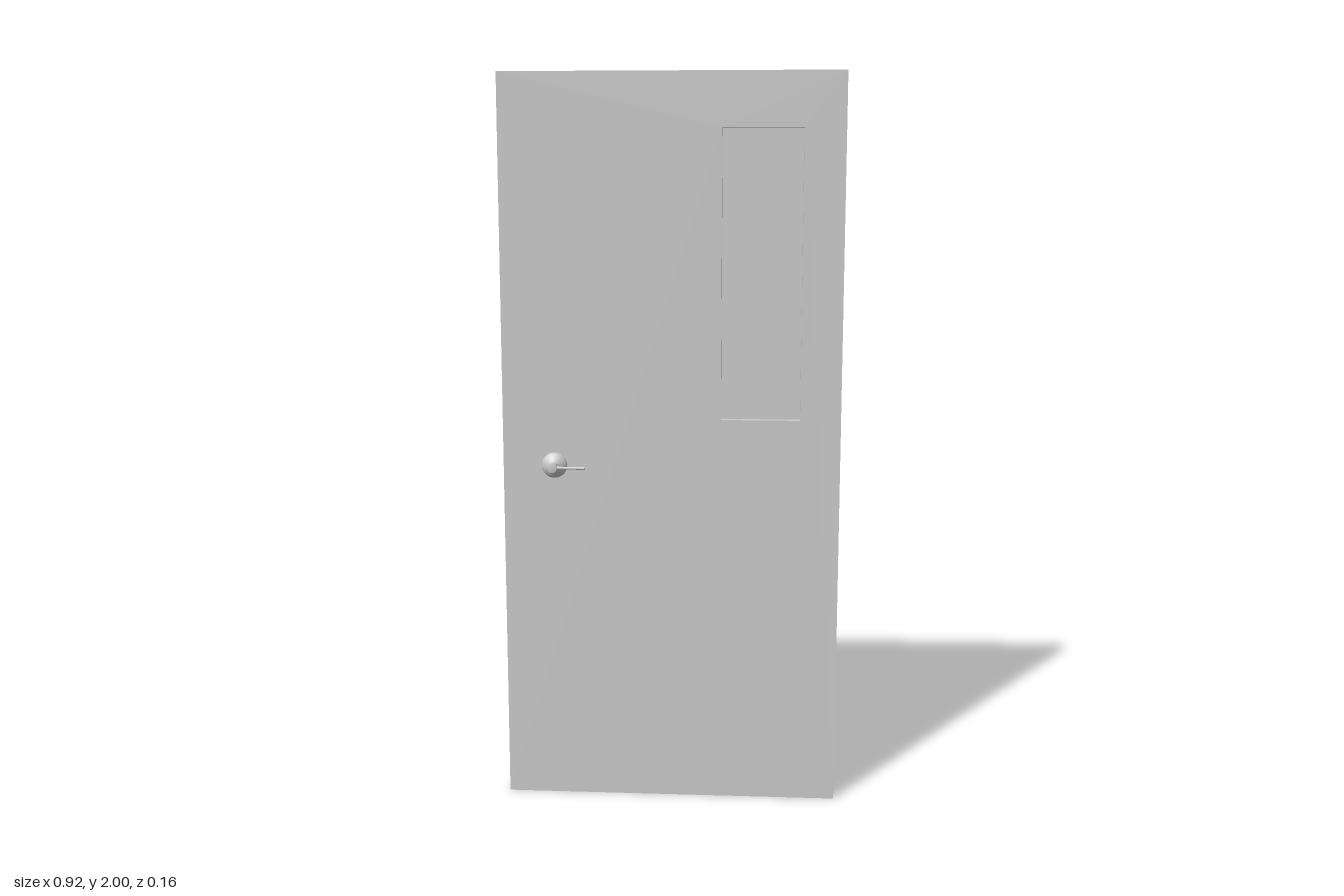
import * as THREE from 'three';

const material = new THREE.MeshStandardMaterial({ color: 0xcccccc });
const Z_MID = -0.0015; // middle of the door's thickness
const THICKNESS = 0.052;

function rectangle(path, x0, y0, x1, y1) {
  path.moveTo(x0, y0);
  path.lineTo(x1, y0);
  path.lineTo(x1, y1);
  path.lineTo(x0, y1);
  path.closePath();
  return path;
}

function addMesh(parent, name, geometry, x = 0, y = 0, z = 0) {
  const mesh = new THREE.Mesh(geometry, material);
  mesh.name = name;
  mesh.position.set(x, y, z);
  parent.add(mesh);
  return mesh;
}

// Handle for one face: local z points out of the door, lever points to +x
function createHandle(name) {
  const handle = new THREE.Group();
  handle.name = name;

  // Domed rosette flaring from a slim neck
  const profile = [
    [0.035, 0.024], [0.035, 0.030], [0.033, 0.034], [0.026, 0.040],
    [0.018, 0.045], [0.012, 0.050], [0.010, 0.055], [0.010, 0.062],
  ].map(([r, d]) => new THREE.Vector2(r, d));
  addMesh(handle, 'rosette', new THREE.LatheGeometry(profile, 32)).rotation.x = Math.PI / 2;

  // Rounded hub at the end of the neck
  const hub = [
    [0, 0.058], [0.011, 0.058], [0.0135, 0.061], [0.0135, 0.075], [0.0125, 0.0775], [0, 0.0775],
  ].map(([r, d]) => new THREE.Vector2(r, d));
  addMesh(handle, 'hub', new THREE.LatheGeometry(hub, 24)).rotation.x = Math.PI / 2;

  // Lever that tapers away from the hub
  const root = new THREE.CylinderGeometry(0.0038, 0.0065, 0.022, 16);
  addMesh(handle, 'leverRoot', root, 0.018, 0, 0.0695).rotation.z = -Math.PI / 2;
  const bar = new THREE.CylinderGeometry(0.0038, 0.0038, 0.064, 16);
  addMesh(handle, 'lever', bar, 0.057, 0, 0.0695).rotation.z = -Math.PI / 2;

  return handle;
}

export function createModel() {
  const door = new THREE.Group();
  door.name = 'door';

  // Slab with a tall window opening
  const outline = rectangle(new THREE.Shape(), -0.46, 0, 0.46, 2);
  outline.holes.push(rectangle(new THREE.Path(), 0.136, 1.08, 0.35, 1.855));
  const slab = new THREE.ExtrudeGeometry(outline, { depth: THICKNESS, bevelEnabled: false });
  addMesh(door, 'slab', slab, 0, 0, Z_MID - THICKNESS / 2);

  // Thin pane set back from both faces
  addMesh(door, 'windowPane', new THREE.BoxGeometry(0.214, 0.775, 0.012), 0.243, 1.4675, Z_MID);

  // The back handle is the front one turned half way round
  ['frontHandle', 'backHandle'].forEach((name, i) => {
    const handle = createHandle(name);
    handle.position.set(-0.319, 0.95, Z_MID);
    handle.rotation.y = i * Math.PI;
    door.add(handle);
  });

  return door;
}
